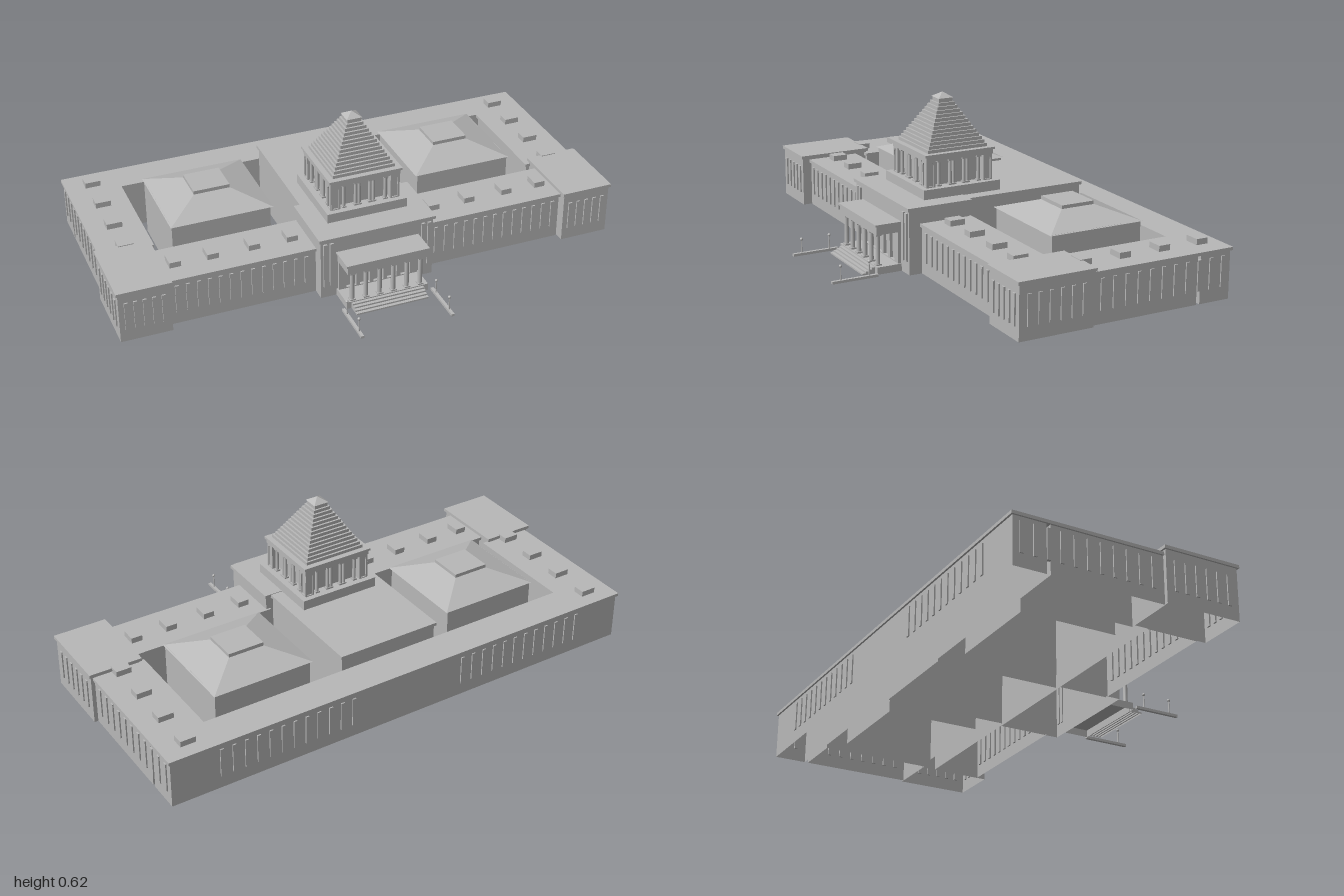
import * as THREE from 'three';

const stone = new THREE.MeshStandardMaterial({ color: 0xb8b8b8, side: THREE.DoubleSide });
stone.name = 'grey stone';

function add(parent, name, geometry, x = 0, y = 0, z = 0) {
  const mesh = new THREE.Mesh(geometry, stone);
  mesh.name = name;
  mesh.position.set(x, y, z);
  parent.add(mesh);
  return mesh;
}

// Box given by its limits on each axis; "open" leaves out the bottom face
function block(parent, name, [x0, x1], [y0, y1], [z0, z1], open = false) {
  const g = new THREE.BoxGeometry(x1 - x0, y1 - y0, z1 - z0);
  if (open) {
    const idx = Array.from(g.index.array);
    idx.splice(18, 6);
    g.setIndex(idx);
    g.clearGroups();
  }
  return add(parent, name, g, (x0 + x1) / 2, (y0 + y1) / 2, (z0 + z1) / 2);
}

// Hollow walls with a slightly overhanging flat roof
function wing(parent, name, [x0, x1], top, [z0, z1], lip = 0.007) {
  block(parent, name + 'Walls', [x0 + lip, x1 - lip], [0, top - 0.012], [z0 + lip, z1 - lip], true);
  block(parent, name + 'Roof', [x0, x1], [top - 0.012, top], [z0, z1]);
}

// Four-sided tapering roof
function hip(parent, name, hx, hz, ratio, y0, y1, x, z) {
  const r = Math.SQRT2;
  let g = new THREE.CylinderGeometry(r * ratio, r, y1 - y0, 4, 1, true);
  g.rotateY(Math.PI / 4).scale(hx, 1, hz);
  g = g.toNonIndexed();
  g.computeVertexNormals();
  return add(parent, name, g, x, (y0 + y1) / 2, z);
}

// Row of upright wall fins along x or z
function fins(parent, name, axis, from, to, count, face, y0 = 0.05, y1 = 0.165) {
  const row = new THREE.Group();
  row.name = name;
  for (let i = 0; i < count; i++) {
    const p = from + (to - from) * i / (count - 1);
    const along = [p - 0.007, p + 0.007], out = [face - 0.006, face + 0.006];
    if (axis === 'x') block(row, 'fin', along, [y0, y1], out);
    else block(row, 'fin', out, [y0, y1], along);
  }
  parent.add(row);
}

// Flat panel pierced by round-headed openings, standing on y = 0
function arcade(width, height, centres, archW, archH, depth) {
  const s = new THREE.Shape();
  s.moveTo(-width / 2, 0).lineTo(width / 2, 0).lineTo(width / 2, height).lineTo(-width / 2, height);
  for (const c of centres) {
    const h = new THREE.Path(), r = archW / 2;
    h.moveTo(c - r, 0.004).lineTo(c + r, 0.004).lineTo(c + r, archH - r);
    h.absarc(c, archH - r, r, 0, Math.PI, false);
    h.lineTo(c - r, 0.004);
    s.holes.push(h);
  }
  return new THREE.ExtrudeGeometry(s, { depth, bevelEnabled: false, curveSegments: 6 });
}

function column(parent, name, x, z, y0, y1, r) {
  add(parent, name, new THREE.CylinderGeometry(r * 0.9, r, y1 - y0, 12), x, (y0 + y1) / 2, z);
  for (const [a, b] of [[y0, y0 + 0.006], [y1 - 0.008, y1]])
    block(parent, name + 'Pad', [x - r * 1.25, x + r * 1.25], [a, b], [z - r * 1.25, z + r * 1.25]);
}

function buildSide(root, s) {
  const side = new THREE.Group();
  side.name = s > 0 ? 'leftHalf' : 'rightHalf';
  root.add(side);
  const mx = (a, b) => (s > 0 ? [a, b] : [-b, -a]);

  // Wings and corner pavilion
  wing(side, 'sideWing', mx(0.775, 0.985), 0.193, [-0.45, 0.0]);
  wing(side, 'frontWing', mx(0.21, 0.8), 0.193, [0.04, 0.254]);
  wing(side, 'pavilion', mx(0.79, 1), 0.212, [-0.015, 0.29]);

  // Wall fins
  fins(side, 'backFins', 'x', s * 0.24, s * 0.78, 12, -0.581);
  fins(side, 'sideFins', 'z', -0.55, -0.05, 11, s * 0.977);
  fins(side, 'pavilionSideFins', 'z', 0.03, 0.245, 6, s * 0.992);
  fins(side, 'pavilionFrontFins', 'x', s * 0.825, s * 0.965, 5, 0.283);
  fins(side, 'frontFins', 'x', s * 0.265, s * 0.765, 13, 0.247);
  fins(side, 'centreFins', 'x', s * 0.185, s * 0.21, 2, 0.301, 0.05, 0.235);

  // Roof dormers
  for (const x of [0.29, 0.44, 0.6, 0.745])
    block(side, 'frontDormer', mx(x - 0.022, x + 0.022), [0.193, 0.215], [0.114, 0.174]);
  for (const z of [-0.51, -0.35, -0.187, -0.027])
    block(side, 'sideDormer', mx(0.85, 0.91), [0.193, 0.215], [z - 0.023, z + 0.023]);

  // Courtyard hall with hipped roof and lantern
  block(side, 'hallWalls', mx(0.307, 0.698), [0, 0.24], [-0.393, -0.022], true);
  hip(side, 'hallRoof', 0.203, 0.193, 0.355, 0.238, 0.285, s * 0.5, -0.207);
  block(side, 'hallLantern', mx(0.428, 0.572), [0.28, 0.298], [-0.274, -0.14]);

  // Approach kerb with lamps
  block(side, 'kerb', mx(0.174, 0.186), [0, 0.01], [0.405, 0.59]);
  for (const z of [0.44, 0.555]) {
    add(side, 'lampPost', new THREE.CylinderGeometry(0.002, 0.003, 0.055, 8), s * 0.18, 0.035, z);
    add(side, 'lampGlobe', new THREE.SphereGeometry(0.006, 10, 8), s * 0.18, 0.064, z);
  }
}

function buildPorch(root) {
  const porch = new THREE.Group();
  porch.name = 'porch';
  root.add(porch);
  block(porch, 'porchFloor', [-0.165, 0.165], [0, 0.028], [0.3, 0.4], true);
  block(porch, 'entablature', [-0.16, 0.16], [0.15, 0.183], [0.3, 0.4]);
  block(porch, 'entablatureCornice', [-0.166, 0.166], [0.183, 0.191], [0.3, 0.406]);
  for (let i = 0; i < 6; i++) column(porch, 'porchColumn', -0.1375 + i * 0.055, 0.385, 0.028, 0.15, 0.009);
  add(porch, 'doorArcade', arcade(0.32, 0.122, [-2, -1, 0, 1, 2].map(i => i * 0.055), 0.04, 0.118, 0.012), 0, 0.028, 0.3);
  for (let i = 0; i < 4; i++)
    block(porch, 'step', [-0.145, 0.145], [0, 0.024 - i * 0.006], [0.398, 0.412 + i * 0.013], true);
}

function buildTower(root) {
  const tower = new THREE.Group();
  tower.name = 'tower';
  tower.position.z = 0.042;
  root.add(tower);
  const slab = (name, h, y0, y1) => block(tower, name, [-h, h], [y0, y1], [-h, h]);
  slab('towerBase', 0.161, 0.255, 0.295);
  slab('towerCore', 0.112, 0.295, 0.4);
  slab('towerCornice', 0.141, 0.395, 0.413);
  slab('towerCorniceLip', 0.147, 0.413, 0.422);

  // Corner piers with arched niches, and a colonnade on each face
  for (let k = 0; k < 4; k++) {
    const face = new THREE.Group();
    face.name = 'towerFace';
    face.rotation.y = k * Math.PI / 2;
    tower.add(face);
    block(face, 'cornerPier', [0.102, 0.135], [0.295, 0.397], [0.102, 0.135]);
    for (const s of [-1, 1])
      add(face, 'pierNiche', arcade(0.036, 0.102, [0], 0.022, 0.094, 0.005), s * 0.12, 0.295, 0.135);
    for (const x of [-0.084, -0.036, -0.022, 0.022, 0.036, 0.084])
      column(face, 'towerColumn', x, 0.129, 0.295, 0.396, 0.007);
  }

  // Stepped pyramid and cap
  const n = 13;
  for (let i = 0; i < n; i++) {
    const y = 0.422 + i * 0.0126;
    slab('pyramidStep', 0.125 - i * 0.0075, y, y + 0.0126);
  }
  slab('capBlock', 0.028, 0.58, 0.602);
  hip(tower, 'capRoof', 0.031, 0.031, 0.02, 0.602, 0.621, 0, 0);
}

export function createModel() {
  const root = new THREE.Group();
  root.name = 'parliamentBuilding';

  // Long back wing and tall central block
  wing(root, 'backWing', [-0.985, 0.985], 0.193, [-0.589, -0.45]);
  wing(root, 'centreRear', [-0.21, 0.21], 0.256, [-0.454, 0.045]);
  wing(root, 'centreFront', [-0.235, 0.235], 0.258, [0.04, 0.307], 0.008);

  for (const s of [1, -1]) buildSide(root, s);
  buildPorch(root);
  buildTower(root);
  return root;
}
